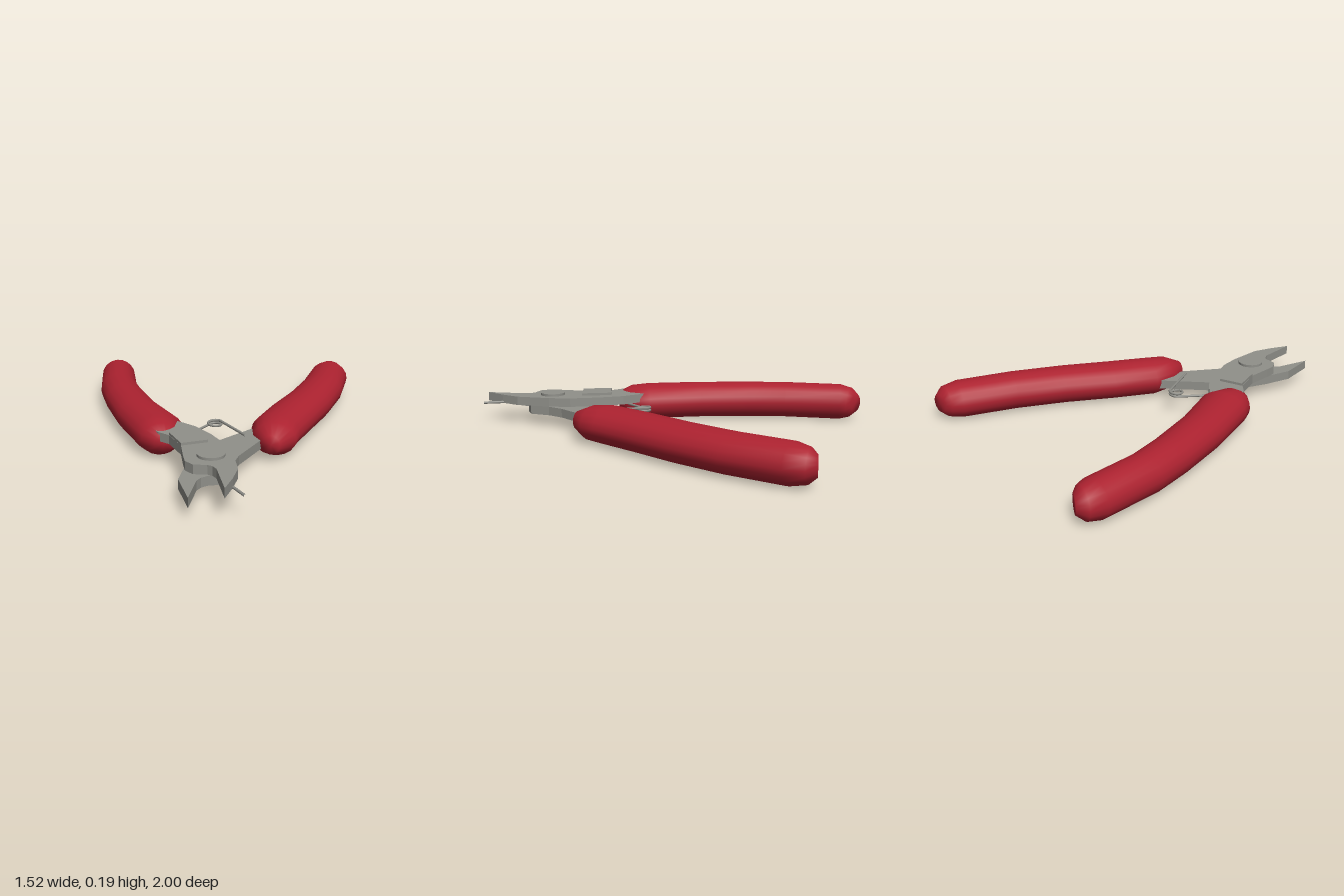
import * as THREE from 'three';

const steel = new THREE.MeshStandardMaterial({ color: 0x90908a });
steel.name = 'steel';
const redGrip = new THREE.MeshStandardMaterial({ color: 0xad2230 });
redGrip.name = 'red grip';

// Flat plate from an outline of [x, z] points, lying between y0 and y1
function plate(name, points, y0, y1) {
  const shape = new THREE.Shape(points.map(([x, z]) => new THREE.Vector2(x, -z)));
  const geometry = new THREE.ExtrudeGeometry(shape, { depth: y1 - y0, bevelEnabled: false });
  geometry.rotateX(-Math.PI / 2).translate(0, y0, 0);
  const mesh = new THREE.Mesh(geometry, steel);
  mesh.name = name;
  return mesh;
}

// Oval tube through rings of [x, z, half width, half height], closed at both ends
function grip(name, rings) {
  const sides = 18, midY = 0.098;
  const positions = [], index = [];
  rings.forEach(([x, z, w, h], r) => {
    const a = rings[Math.max(r - 1, 0)], b = rings[Math.min(r + 1, rings.length - 1)];
    const t = new THREE.Vector2(b[0] - a[0], b[1] - a[1]).normalize();
    for (let i = 0; i < sides; i++) {
      const angle = (i / sides) * Math.PI * 2;
      const s = Math.cos(angle) * w;
      positions.push(x + t.y * s, midY + Math.sin(angle) * h, z - t.x * s);
    }
  });
  const last = rings.length - 1, firstCentre = rings.length * sides;
  for (const r of [0, last]) positions.push(rings[r][0], midY, rings[r][1]);
  for (let i = 0; i < sides; i++) {
    const j = (i + 1) % sides;
    for (let r = 0; r < last; r++) {
      const a = r * sides, b = a + sides;
      index.push(a + i, a + j, b + i, a + j, b + j, b + i);
    }
    index.push(firstCentre, j, i, firstCentre + 1, last * sides + i, last * sides + j);
  }
  const geometry = new THREE.BufferGeometry();
  geometry.setAttribute('position', new THREE.Float32BufferAttribute(positions, 3));
  geometry.setIndex(index);
  geometry.computeVertexNormals();
  const mesh = new THREE.Mesh(geometry, redGrip);
  mesh.name = name;
  return mesh;
}

// Thin round wire along a list of points
function wire(name, points, segments) {
  const path = new THREE.CurvePath();
  for (let i = 1; i < points.length; i++) path.add(new THREE.LineCurve3(points[i - 1], points[i]));
  const mesh = new THREE.Mesh(new THREE.TubeGeometry(path, segments, 0.007, 6), steel);
  mesh.material = steel;
  mesh.name = name;
  return mesh;
}

export function createModel() {
  const group = new THREE.Group();
  group.name = 'cuttingPliers';

  // Handle grips, from the back end to the jaw end
  group.add(grip('rightGrip', [
    [-0.655, -0.922, 0.05, 0.05], [-0.667, -0.89, 0.085, 0.082], [-0.665, -0.83, 0.1, 0.098],
    [-0.605, -0.53, 0.107, 0.098], [-0.535, -0.34, 0.112, 0.098], [-0.415, -0.075, 0.121, 0.098],
    [-0.27, 0.175, 0.135, 0.098], [-0.245, 0.275, 0.1, 0.085], [-0.222, 0.335, 0.05, 0.05],
  ]));
  group.add(grip('leftGrip', [
    [0.645, -1, 0.05, 0.05], [0.653, -0.965, 0.09, 0.082], [0.648, -0.89, 0.113, 0.098],
    [0.59, -0.6, 0.122, 0.098], [0.507, -0.335, 0.127, 0.098], [0.405, -0.08, 0.132, 0.098],
    [0.33, 0.13, 0.13, 0.098], [0.325, 0.23, 0.11, 0.088], [0.31, 0.318, 0.045, 0.05],
  ]));

  // Two crossing blades, one lying on the other
  group.add(plate('upperBlade', [
    [-0.26, 0.1], [-0.18, 0.16], [-0.07, 0.24], [0.015, 0.345], [0.1, 0.48], [0.137, 0.59],
    [0.17, 0.77], [0.153, 0.875], [0.125, 0.985], [0.075, 0.78], [0.055, 0.75], [0.03, 0.738],
    [-0.035, 0.738], [-0.075, 0.7], [-0.09, 0.64], [-0.115, 0.51], [-0.19, 0.375],
    [-0.25, 0.335], [-0.31, 0.26],
  ], 0.11, 0.157));
  group.add(plate('lowerBlade', [
    [0.28, 0.03], [0.2, 0.13], [0.105, 0.24], [0.015, 0.345], [-0.045, 0.48], [-0.08, 0.64],
    [-0.095, 0.8], [-0.03, 0.992], [-0.012, 0.81], [0.005, 0.775], [0.04, 0.748],
    [0.105, 0.738], [0.145, 0.7], [0.14, 0.59], [0.16, 0.5], [0.26, 0.28], [0.32, 0.2],
  ], 0.062, 0.11));

  // Raised pad and pivot rivet
  group.add(plate('stopPad', [[-0.19, 0.37], [-0.07, 0.315], [0.01, 0.455], [-0.115, 0.51]], 0.155, 0.17));
  const rivet = new THREE.Mesh(new THREE.CylinderGeometry(0.067, 0.067, 0.06, 24), steel);
  rivet.name = 'pivotRivet';
  rivet.position.set(0.037, 0.14, 0.622);
  group.add(rivet);

  // Return spring: a leg, one and a half coils, another leg
  const v = (x, y, z) => new THREE.Vector3(x, y, z);
  const spring = [v(-0.105, 0.108, 0.225)];
  for (let i = 0; i <= 32; i++) {
    const angle = Math.PI * (1.12 - (i / 32) * 1.24) + (i / 32) * Math.PI * 4;
    spring.push(v(0.012 + 0.034 * Math.cos(angle), 0.108 + 0.02 * (i / 32), 0.082 + 0.034 * Math.sin(angle)));
  }
  spring.push(v(0.18, 0.128, 0.27));
  group.add(wire('returnSpring', spring, 140));

  // Short wire retainer beside the jaw
  group.add(wire('wireRetainer', [v(0.13, 0.115, 0.84), v(0.21, 0.115, 0.962)], 2));
  return group;
}
